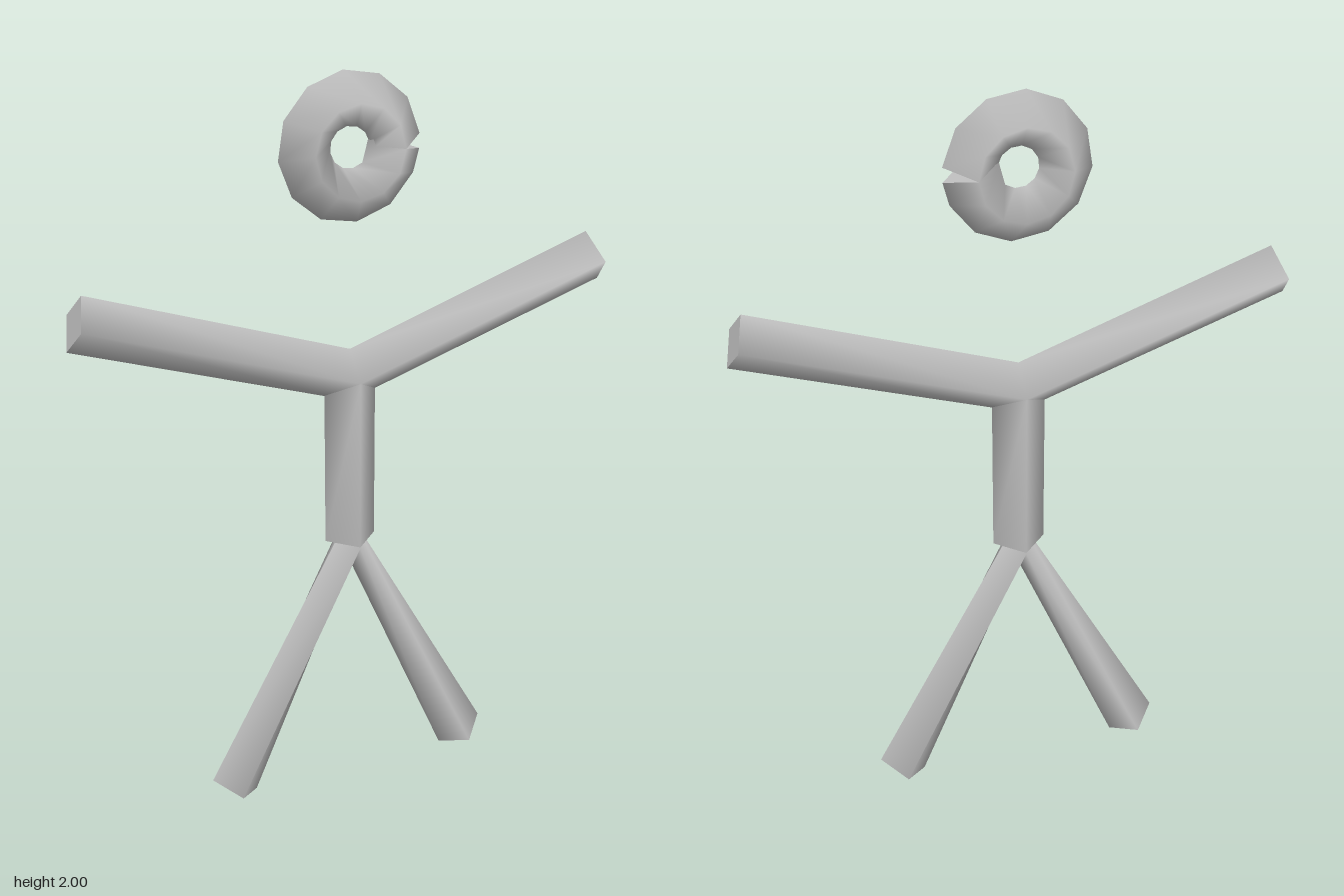
import * as THREE from 'three';

const R = 0.0715; // half diagonal of the square section

// Square bar swept along a path in the xy plane, with flat end caps.
// Inner rings face along the next segment (forward) or between neighbours.
function bar(name, path, material, forward = false) {
  const pos = [], index = [], last = path.length - 1;
  path.forEach(([x, y], i) => {
    const a = path[i === last || !forward ? Math.max(i - 1, 0) : i];
    const b = path[Math.min(i + 1, last)];
    const len = Math.hypot(b[0] - a[0], b[1] - a[1]);
    const tx = (b[0] - a[0]) / len, ty = (b[1] - a[1]) / len;
    for (let j = 0; j < 4; j++) {
      const c = R * Math.cos(j * Math.PI / 2), s = R * Math.sin(j * Math.PI / 2);
      pos.push(x - ty * c, y + tx * c, s);
    }
  });
  for (let i = 0; i < last; i++) {
    for (let j = 0; j < 4; j++) {
      const a = i * 4 + j, b = i * 4 + (j + 1) % 4;
      index.push(a, b, b + 4, a, b + 4, a + 4);
    }
  }
  // caps get their own corners so their rims stay sharp
  const n = pos.length / 3;
  pos.push(...pos.slice(0, 12), ...pos.slice(-12));
  index.push(n, n + 3, n + 2, n, n + 2, n + 1);
  index.push(n + 4, n + 5, n + 6, n + 4, n + 6, n + 7);

  const geometry = new THREE.BufferGeometry();
  geometry.setAttribute('position', new THREE.Float32BufferAttribute(pos, 3));
  geometry.setIndex(index);
  geometry.computeVertexNormals();
  const mesh = new THREE.Mesh(geometry, material);
  mesh.name = name;
  return mesh;
}

export function createModel() {
  const group = new THREE.Group();
  group.name = 'stickFigure';
  const grey = new THREE.MeshStandardMaterial({ color: 0xc0c0c0, side: THREE.DoubleSide });
  grey.name = 'light grey';

  // head: a ring of twelve segments, with a small notch where its ends meet
  const ring = [];
  for (let i = 0; i <= 12; i++) {
    const a = i * Math.PI / 6;
    ring.push([0.118 * Math.cos(a), 1.812 + 0.118 * Math.sin(a)]);
  }
  group.add(
    bar('head', ring, grey, true),
    bar('arms', [[-0.708, 1.457], [0, 1.22], [0.708, 1.457]], grey),
    bar('body', [[0, 0.75], [0, 1.22]], grey),
    bar('legs', [[-0.353, 0.034], [0, 0.747], [0.353, 0.034]], grey)
  );
  return group;
}
